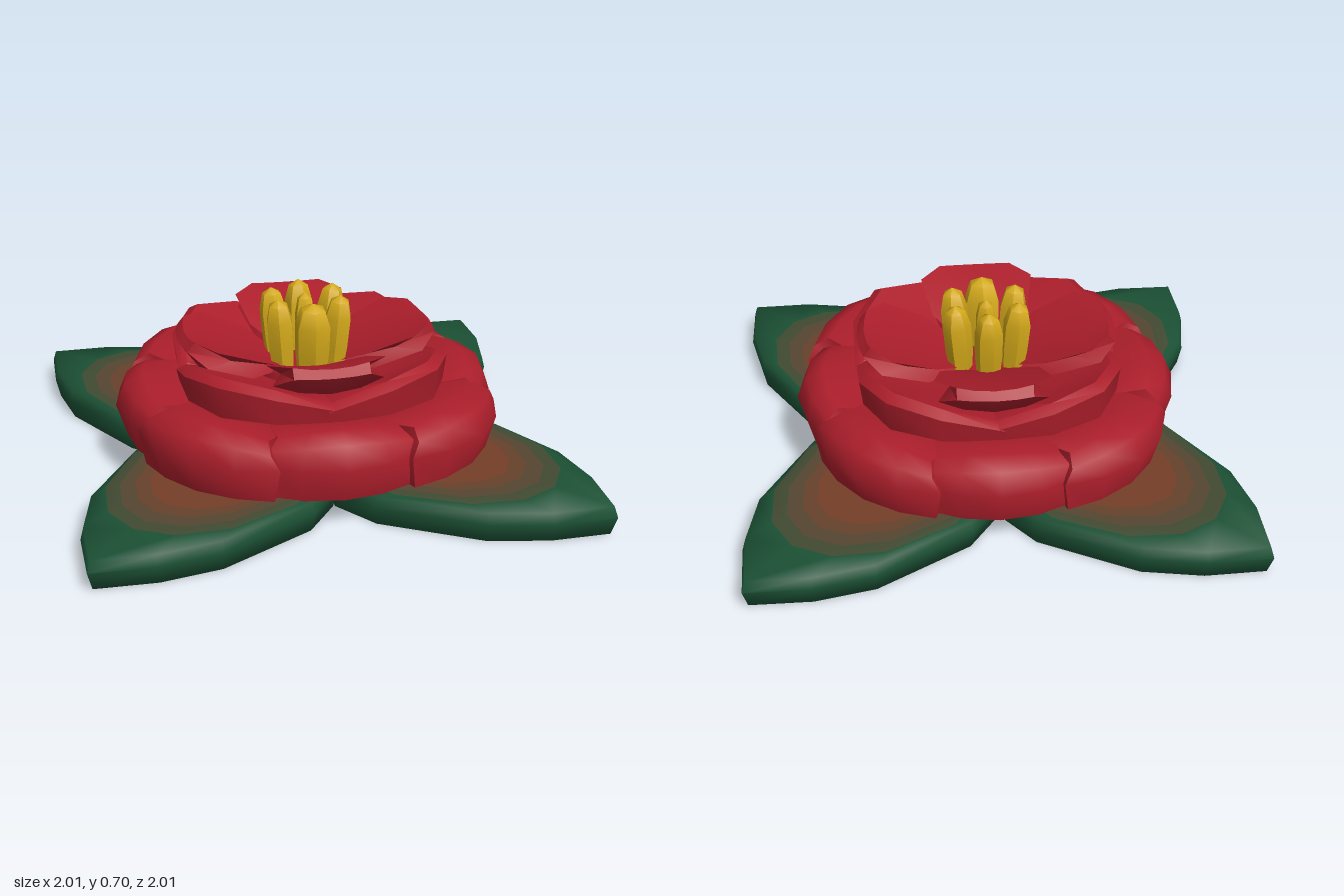
import * as THREE from 'three';
import { toCreasedNormals } from 'three/addons/utils/BufferGeometryUtils.js';

const mat = (name, color, side = THREE.FrontSide) => {
  const m = new THREE.MeshStandardMaterial({ color, side });
  m.name = name;
  return m;
};

// Skins closed rings of Vector3; a one-point ring closes an end.
// slots[k] is the material index of the strip after ring k.
function loft(rings, slots, crease) {
  const pos = [];
  const geo = new THREE.BufferGeometry();
  for (let k = 0; k + 1 < rings.length; k++) {
    const A = rings[k], B = rings[k + 1], n = Math.max(A.length, B.length);
    const start = pos.length / 3;
    const at = (R, i) => R[i % R.length];
    const tri = (...pts) => pts.forEach(p => pos.push(p.x, p.y, p.z));
    for (let i = 0; i < n; i++) {
      if (A.length > 1) tri(at(A, i), at(A, i + 1), at(B, i + 1));
      if (B.length > 1) tri(at(A, i), at(B, i + 1), at(B, i));
    }
    if (slots) geo.addGroup(start, pos.length / 3 - start, slots[k]);
  }
  geo.setAttribute('position', new THREE.Float32BufferAttribute(pos, 3));
  return toCreasedNormals(geo, crease);
}

const centre = ring => [ring.reduce((s, p) => s.add(p), new THREE.Vector3()).divideScalar(ring.length)];

// Petal from a closed side profile: [reach, height, halfWidth, edgePullBack, edgeLift]
function petalGeometry(profile) {
  const rings = [-1, -0.55, 0, 0.55, 1].map(s => profile.map(([r, y, w, pull, lift]) =>
    new THREE.Vector3(w * s, y + lift * s * s, r - pull * s * s)));
  return loft([centre(rings[0]), ...rings, centre(rings[4])], null, 0.85);
}

// Leaf contours as half outlines: [along, halfWidth], base to tip
const OUTLINE = [[0.1, 0], [0.1, 0.12], [0.38, 0.4], [0.6, 0.435], [1.03, 0.32], [1.24, 0.18], [1.414, 0]];
const BLUSH = [[0.12, 0], [0.13, 0.11], [0.4, 0.34], [0.66, 0.395], [0.95, 0.3], [1.1, 0.16], [1.15, 0]];
const CORE = [[0.2, 0], [0.2, 0.1], [0.4, 0.2], [0.62, 0.27], [0.8, 0.2], [0.9, 0.11], [0.94, 0]];

function leafGeometry() {
  const ring = (half, y, scale = 1) => {
    const all = [...half, ...half.slice(1, -1).reverse().map(([u, v]) => [u, -v])];
    return all.map(([u, v]) => new THREE.Vector3(v * scale, y, 0.7 + (u - 0.7) * scale));
  };
  const mix = t => CORE.map(([u, v], i) => [u + (BLUSH[i][0] - u) * t, v + (BLUSH[i][1] - v) * t]);
  const rings = [
    ring(CORE, 0.145), ring(mix(0.33), 0.145), ring(mix(0.67), 0.144), ring(BLUSH, 0.143),
    ring(OUTLINE, 0.13, 0.975), ring(OUTLINE, 0.085), ring(OUTLINE, 0.01, 0.965)];
  return loft([centre(rings[0]), ...rings, centre(rings[6])], [0, 1, 2, 3, 4, 4, 4, 4], 1.5);
}

const OUTER = [
  [0.2, 0.24, 0.1, 0, 0], [0.47, 0.35, 0.24, 0.02, 0], [0.68, 0.405, 0.24, 0.05, -0.035],
  [0.755, 0.37, 0.28, 0.08, -0.035], [0.795, 0.28, 0.32, 0.12, 0], [0.75, 0.14, 0.29, 0.08, 0], [0.2, 0.14, 0.1, 0, 0]];
const MIDDLE = [
  [0.12, 0.37, 0.1, 0, 0], [0.36, 0.42, 0.26, 0.1, -0.01], [0.57, 0.535, 0.35, 0.22, -0.1],
  [0.615, 0.51, 0.39, 0.25, -0.1], [0.6, 0.38, 0.38, 0.24, -0.02], [0.12, 0.32, 0.1, 0, 0]];
const INNER = [
  [0.08, 0.41, 0.06, 0, 0], [0.22, 0.475, 0.2, 0, 0.025], [0.4, 0.55, 0.235, 0, 0.02], [0.5, 0.577, 0.15, 0.02, 0.01],
  [0.53, 0.55, 0.15, 0.02, 0], [0.47, 0.46, 0.22, 0.03, 0.04], [0.25, 0.38, 0.17, 0, 0.04]];

export function createModel() {
  const group = new THREE.Group();
  group.name = 'flower';
  const red = mat('petalRed', 0xab1e2b, THREE.DoubleSide);
  const gold = mat('stamenGold', 0xd2a81a);
  const leafColours = [
    mat('leafBrown', 0x743e28), mat('leafRusset', 0x66422c), mat('leafUmber', 0x554630),
    mat('leafOlive', 0x414a32), mat('leafGreen', 0x1c5135)];

  const add = (name, geo, material, parent = group) => {
    const mesh = new THREE.Mesh(geo, material);
    mesh.name = name;
    parent.add(mesh);
    return mesh;
  };

  // Four evenly spaced copies, with slight variation in size and turn
  const whorl = (name, geo, material, offset, size = 1, vary = 0) => {
    const set = new THREE.Group();
    set.name = name + 's';
    for (let i = 0; i < 4; i++) {
      const m = add(name, geo, material, set);
      m.rotation.y = offset + i * Math.PI / 2 + vary * Math.sin(i * 2.3) * 2;
      const s = size + vary * Math.cos(i * 1.9);
      m.scale.set(s, 1, s);
    }
    group.add(set);
  };

  const outer = petalGeometry(OUTER);
  whorl('leaf', leafGeometry(), leafColours, Math.PI / 4);
  whorl('outerPetal', outer, red, 0, 0.99, 0.01);
  whorl('outerCornerPetal', outer, red, Math.PI / 4, 1.035, 0.015);
  whorl('middlePetal', petalGeometry(MIDDLE), red, Math.PI / 4, 1, 0.01);
  whorl('innerPetal', petalGeometry(INNER), red, 0, 1, 0.01);

  // Solid heart joining the petals
  add('flowerHeart', new THREE.CylinderGeometry(0.2, 0.24, 0.28, 16), red).position.y = 0.28;

  // Stamens: ring of six leaning outwards and a slim one in the middle
  const profile = [[0.045, 0], [0.056, 0.12], [0.058, 0.24], [0.04, 0.31], [0, 0.335]];
  const stamenGeo = toCreasedNormals(
    new THREE.LatheGeometry(profile.map(([r, y]) => new THREE.Vector2(r, y)), 6), 0.8);
  const stamens = new THREE.Group();
  stamens.name = 'stamens';
  for (let i = 0; i < 6; i++) {
    const spoke = new THREE.Group();
    spoke.name = 'stamenSpoke';
    spoke.rotation.y = i * Math.PI / 3;
    const s = add('stamen', stamenGeo, gold, spoke);
    s.position.set(0, 0.38, 0.12);
    s.rotation.set(0.09, i * 0.8, 0);
    // The front one is the stoutest
    if (i === 0) s.scale.set(1.3, 1, 1.3);
    stamens.add(spoke);
  }
  const slim = add('centreStamen', stamenGeo, gold, stamens);
  slim.position.set(0, 0.38, 0.02);
  slim.rotation.x = -0.12;
  slim.scale.set(0.75, 0.97, 0.75);
  group.add(stamens);
  return group;
}
